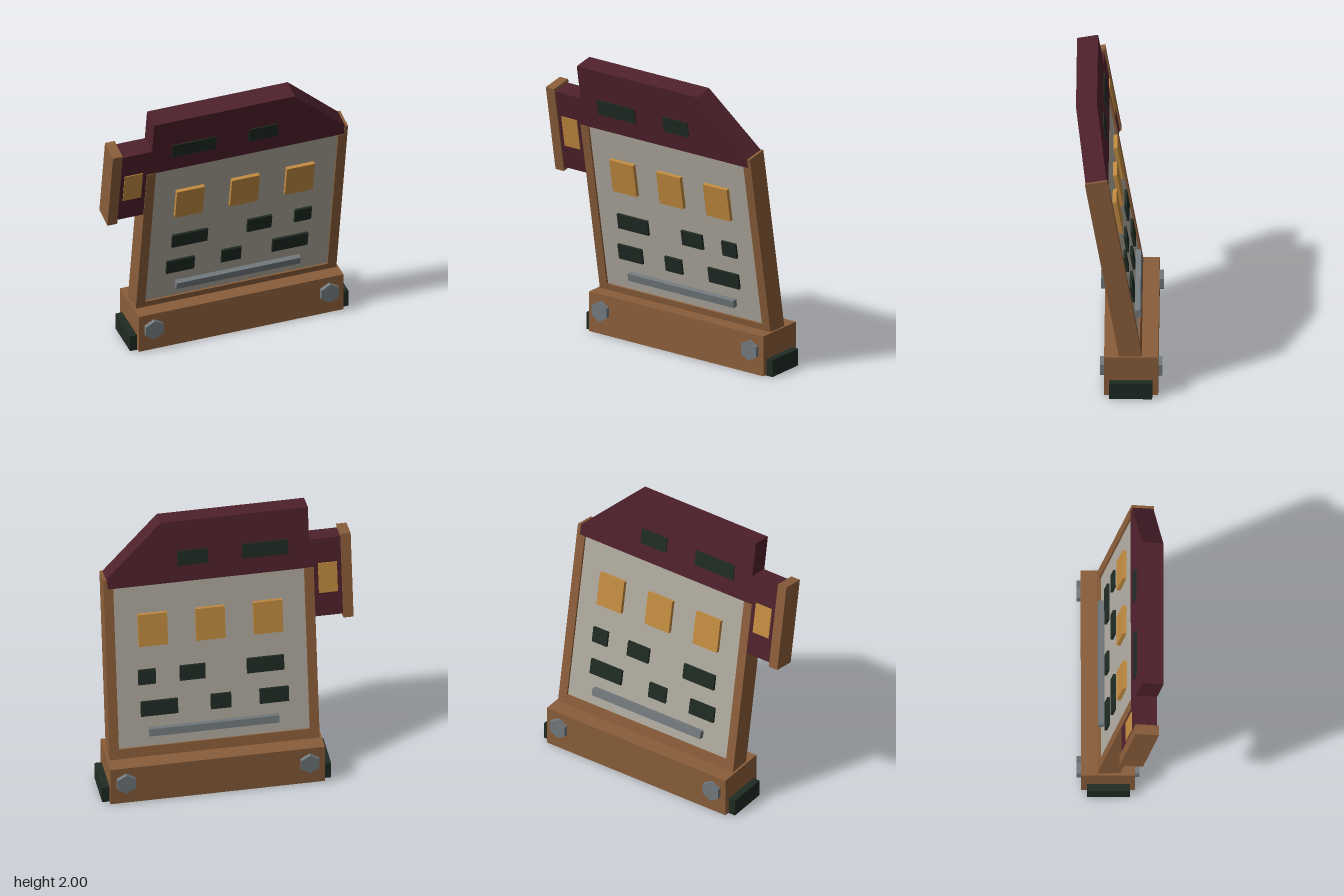
import * as THREE from 'three';

const mat = (name, color) => {
  const m = new THREE.MeshStandardMaterial({ color });
  m.name = name;
  return m;
};

export function createModel() {
  const wood = mat('wood', 0x8b5e3a);
  const maroon = mat('maroon', 0x4f212c);
  const plaster = mat('pale panel', 0xb0aa9f);
  const amber = mat('amber', 0xc28b40);
  const dark = mat('dark green', 0x1f2b23);
  const steel = mat('steel', 0x72797d);

  const model = new THREE.Group();
  model.name = 'leaningBoard';

  // Box given by its lower and upper limits on each axis
  const box = (parent, name, material, [x0, x1], [y0, y1], [z0, z1]) => {
    const mesh = new THREE.Mesh(new THREE.BoxGeometry(x1 - x0, y1 - y0, z1 - z0), material);
    mesh.position.set((x0 + x1) / 2, (y0 + y1) / 2, (z0 + z1) / 2);
    mesh.name = name;
    parent.add(mesh);
  };

  // Base beam with a dark foot running through it
  box(model, 'baseBeam', wood, [-0.64, 0.83], [0.005, 0.29], [-0.265, 0.1]);
  box(model, 'foot', dark, [-0.69, 0.88], [0, 0.12], [-0.225, 0.065]);

  // Hexagonal bolt heads on both faces of the base
  const boltGeometry = new THREE.CylinderGeometry(0.073, 0.073, 0.04, 6).toNonIndexed();
  boltGeometry.rotateX(Math.PI / 2);
  boltGeometry.computeVertexNormals();
  for (const x of [-0.535, 0.725]) {
    for (const z of [0.109, -0.274]) {
      const bolt = new THREE.Mesh(boltGeometry, steel);
      bolt.position.set(x, 0.175, z);
      bolt.name = 'bolt';
      model.add(bolt);
    }
  }

  // Everything above the base leans forward by ten degrees
  const board = new THREE.Group();
  board.name = 'board';
  board.position.set(0, 0.29, -0.0775);
  board.rotation.x = THREE.MathUtils.degToRad(10);
  model.add(board);
  const slab = (name, material, x, y, half) => box(board, name, material, x, y, [-half, half]);

  // Panel and wooden frame
  slab('panel', plaster, [-0.57, 0.76], [0, 1.28], 0.0625);
  slab('leftPost', wood, [0.75, 0.813], [-0.06, 1.267], 0.0765);
  slab('leftPostStrip', wood, [0.79, 0.815], [-0.06, 1.34], 0.0765);
  slab('rightPost', wood, [-0.625, -0.56], [-0.06, 1.267], 0.0765);
  slab('bottomRail', wood, [-0.56, 0.75], [-0.06, 0.059], 0.075);

  // Header with one cut corner
  const outline = [[-0.6, 1.267], [0.798, 1.267], [0.798, 1.338], [0.41, 1.723], [-0.6, 1.723]];
  const headerShape = new THREE.Shape(outline.map(([x, y]) => new THREE.Vector2(x, y)));
  const headerGeometry = new THREE.ExtrudeGeometry(headerShape, { depth: 0.144, bevelEnabled: false });
  headerGeometry.translate(0, 0, -0.072);
  const header = new THREE.Mesh(headerGeometry, maroon);
  header.name = 'header';
  board.add(header);

  // Side wing with its end cap and window
  slab('wing', maroon, [-0.82, -0.59], [0.895, 1.475], 0.07);
  slab('wingCap', wood, [-0.885, -0.815], [0.868, 1.498], 0.08);
  slab('wingWindow', amber, [-0.785, -0.655], [1.069, 1.292], 0.076);

  // Amber windows showing on both faces
  for (const x of [-0.4, -0.005, 0.39]) slab('window', amber, [x, x + 0.2], [0.818, 1.057], 0.09);

  // Rows of dark plates showing on both faces
  const rows = [
    [0.288, 0.397, [[-0.425, -0.225], [-0.03, 0.11], [0.335, 0.59]]],
    [0.527, 0.636, [[-0.4, -0.145], [0.14, 0.315], [0.48, 0.6]]],
    [1.39, 1.5, [[-0.455, -0.14], [0.095, 0.305]]],
  ];
  for (const [y0, y1, spans] of rows) {
    for (const span of spans) slab('plate', dark, span, [y0, y1], 0.08);
  }

  // Steel bar near the bottom
  slab('bar', steel, [-0.35, 0.54], [0.144, 0.197], 0.1);

  return model;
}
